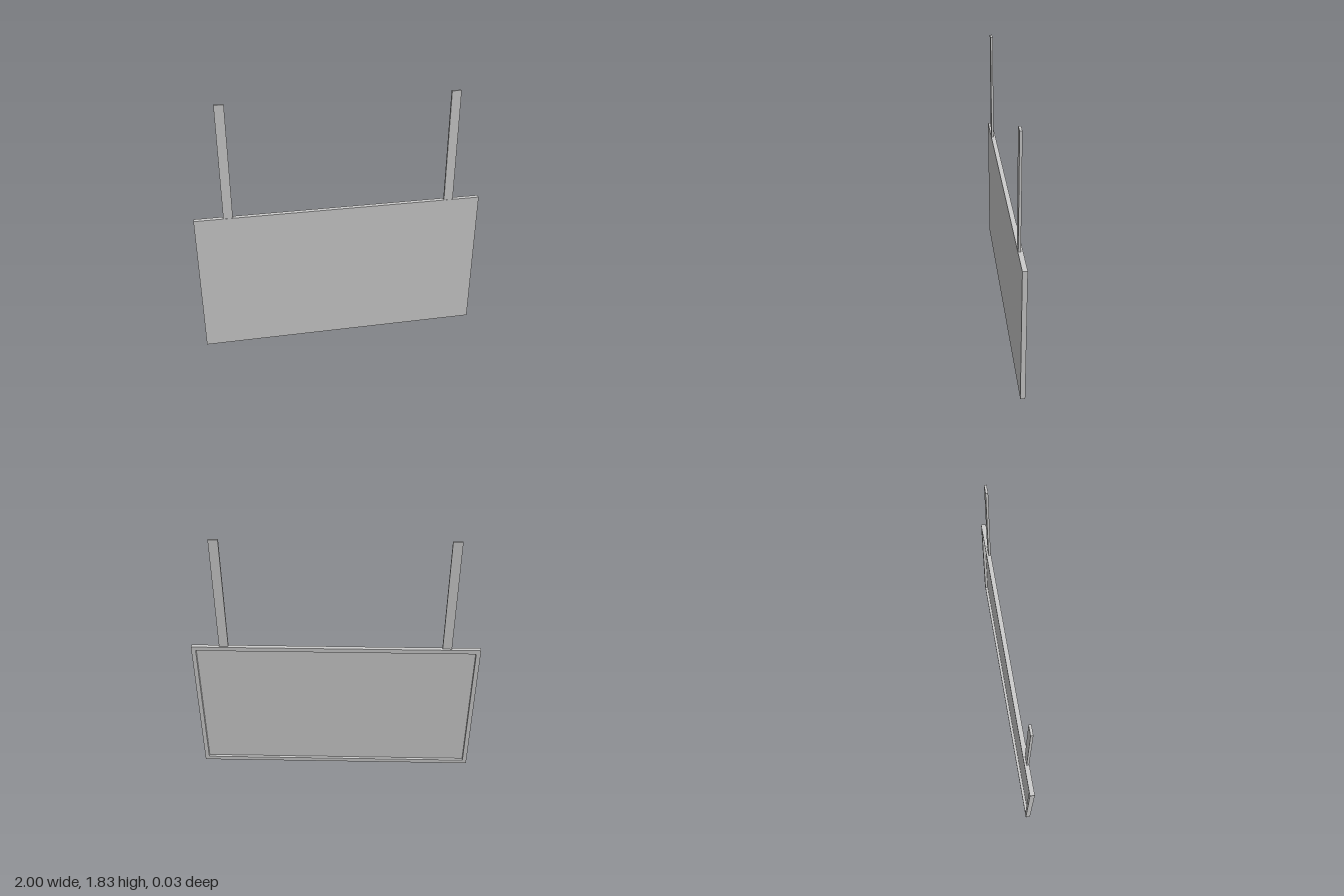
import * as THREE from 'three';

const W = 2, H = 1.03, DEPTH = 0.032, BORDER = 0.03, SHEET = 0.012;
const POST = { width: 0.064, depth: 0.016, top: 1.828, z: 0.006 };

export function createModel() {
  const group = new THREE.Group();
  const material = new THREE.MeshStandardMaterial({ color: 0xcccccc });

  const add = (name, geometry, x, y, z) => {
    const mesh = new THREE.Mesh(geometry, material);
    mesh.name = name;
    mesh.position.set(x, y, z);
    group.add(mesh);
  };

  // Flat front sheet
  add('frontPanel', new THREE.BoxGeometry(W, H, SHEET), 0, H / 2, DEPTH / 2 - SHEET / 2);

  // Raised rim around the back, leaving the middle recessed
  const rim = new THREE.Shape([
    new THREE.Vector2(-W / 2, 0), new THREE.Vector2(W / 2, 0),
    new THREE.Vector2(W / 2, H), new THREE.Vector2(-W / 2, H),
  ]);
  rim.holes.push(new THREE.Path([
    new THREE.Vector2(-W / 2 + BORDER, BORDER), new THREE.Vector2(-W / 2 + BORDER, H - BORDER),
    new THREE.Vector2(W / 2 - BORDER, H - BORDER), new THREE.Vector2(W / 2 - BORDER, BORDER),
  ]));
  add('backRim', new THREE.ExtrudeGeometry(rim, { depth: DEPTH - SHEET, bevelEnabled: false }), 0, 0, -DEPTH / 2);

  // Two flat hanging posts standing on the top edge
  const postHeight = POST.top - H;
  for (const [name, x] of [['rightPost', -0.77], ['leftPost', 0.775]]) {
    add(name, new THREE.BoxGeometry(POST.width, postHeight, POST.depth), x, H + postHeight / 2, POST.z);
  }
  return group;
}
